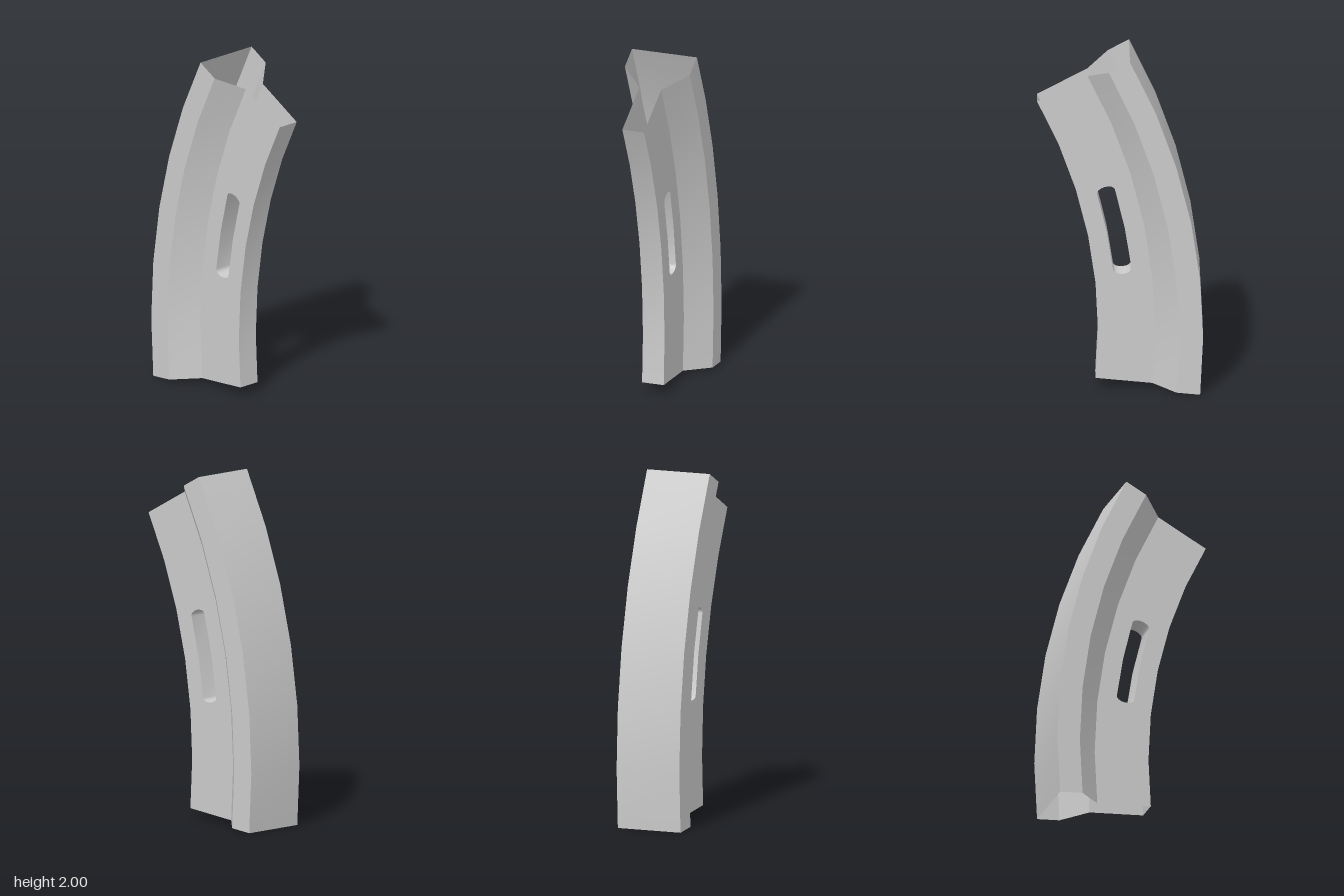
import * as THREE from 'three';
import { toCreasedNormals } from 'three/addons/utils/BufferGeometryUtils.js';

const CENTRE_Z = 3.037, CENTRE_Y = 0.348;   // centre of the bend
const STEP = Math.PI / 32;                  // one facet of the bend
const START = -STEP, SEGMENTS = 6;
const WEB = 0.065, FLANGE = 0.195;          // half widths
const R_FRONT = 2.912, R_NECK = 3.235, R_SHOULDER = 3.37, R_BACK = 3.505;

const material = new THREE.MeshStandardMaterial({ color: 0xcccccc, side: THREE.DoubleSide });

// Point in the side plane (z, y) at a radius and angle of the bend
const bend = (r, a) => new THREE.Vector2(CENTRE_Z - r * Math.cos(a), CENTRE_Y + r * Math.sin(a));
const angles = Array.from({ length: SEGMENTS + 1 }, (_, i) => START + i * STEP);

// Skin between rows of [x, y, z] points
function skin(name, rows) {
  const n = rows[0].length, index = [];
  for (let i = 0; i < rows.length - 1; i++) {
    for (let j = 0; j < n - 1; j++) {
      const a = i * n + j, b = a + 1, c = a + n, d = c + 1;
      index.push(a, c, b, b, c, d);
    }
  }
  const geometry = new THREE.BufferGeometry();
  geometry.setAttribute('position', new THREE.Float32BufferAttribute(rows.flat(2), 3));
  geometry.setIndex(index);
  return makeMesh(name, toCreasedNormals(geometry, Math.PI / 5));
}

function makeMesh(name, geometry) {
  const mesh = new THREE.Mesh(geometry, material);
  mesh.name = name;
  return mesh;
}

// Sweep a profile of [x, radius] points along the bend
function sweep(name, profile) {
  return skin(name, angles.map(a => profile.map(([x, r]) => {
    const p = bend(r, a);
    return [x, p.y, p.x];
  })));
}

// Outline of the curved slot with shallow rounded ends
function slotOutline() {
  const rIn = 3.02, rOut = 3.124, low = 0.1195, high = 0.274, depth = 0.0092;
  const mid = (rIn + rOut) / 2, half = (rOut - rIn) / 2, points = [];
  const cap = (angle, side) => {
    for (let i = 0; i <= 8; i++) {
      const t = i * Math.PI / 8;
      points.push(bend(mid - side * half * Math.cos(t), angle + side * depth * Math.sin(t)));
    }
  };
  cap(high, 1);
  points.push(bend(rOut, (low + high) / 2));
  cap(low, -1);
  points.push(bend(rIn, (low + high) / 2));
  return points;
}

export function createModel() {
  const model = new THREE.Group();
  model.name = 'curvedChannel';

  // Wide back flange with sloping shoulders, open at both ends
  model.add(sweep('backFlange', [
    [-WEB, R_NECK], [-FLANGE, R_SHOULDER], [-FLANGE, R_BACK],
    [FLANGE, R_BACK], [FLANGE, R_SHOULDER], [WEB, R_NECK],
  ]));

  // Narrow front wall of the web
  model.add(sweep('frontWall', [[WEB, R_FRONT], [-WEB, R_FRONT]]));

  // Web sides, pierced by the slot
  const slot = slotOutline();
  const outline = [
    ...angles.map(a => bend(R_FRONT, a)),
    ...angles.map(a => bend(R_NECK, a)).reverse(),
  ];
  const shape = new THREE.Shape(outline);
  shape.holes.push(new THREE.Path(slot));
  const side = new THREE.ShapeGeometry(shape);
  side.rotateY(-Math.PI / 2).translate(-WEB, 0, 0);
  const rightSide = makeMesh('webSideRight', side);
  const leftSide = makeMesh('webSideLeft', side);
  leftSide.scale.x = -1;
  model.add(rightSide, leftSide);

  // Inner wall of the slot
  model.add(skin('slotWall', [...slot, slot[0]].map(p => [[-WEB, p.y, p.x], [WEB, p.y, p.x]])));

  return model;
}
